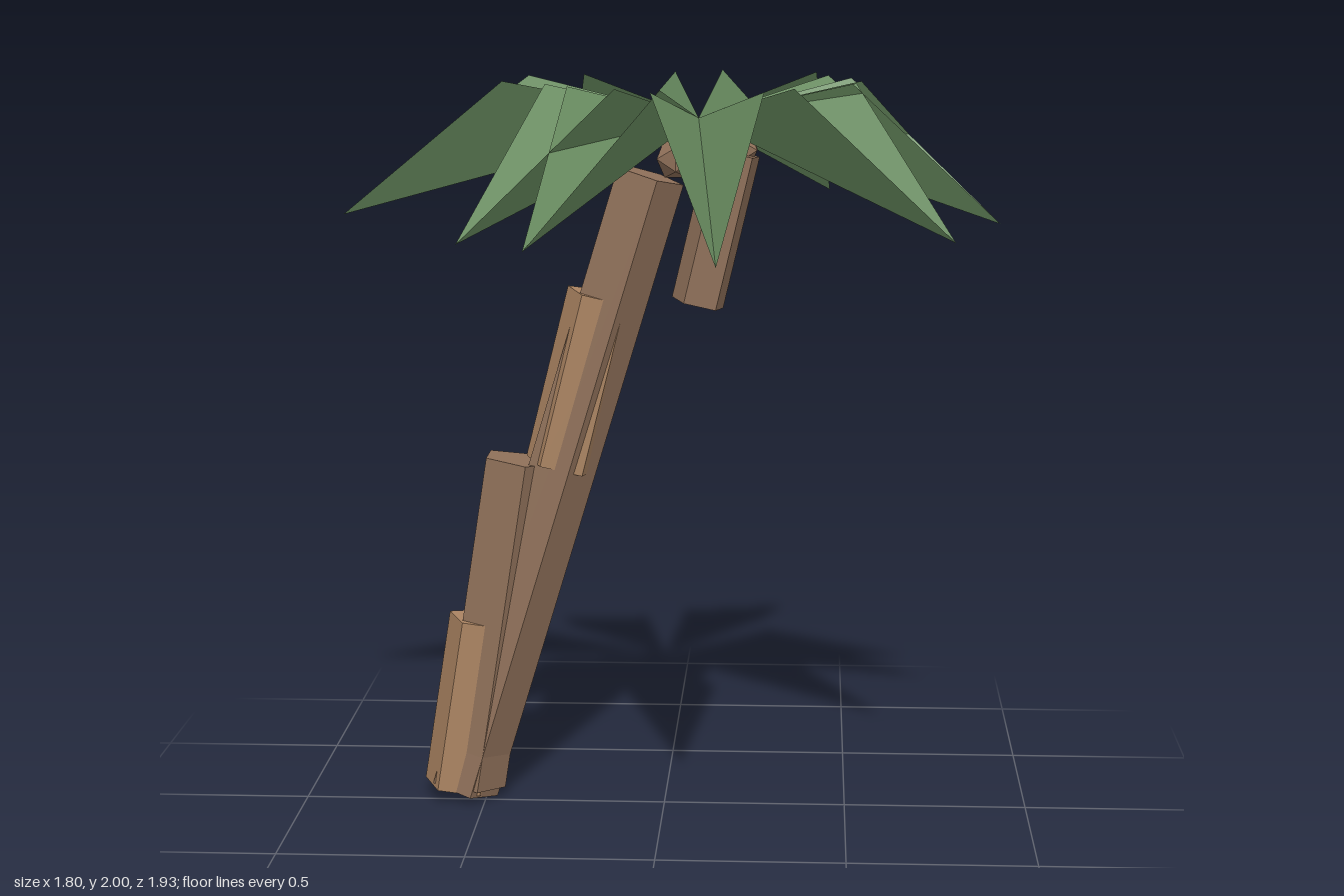
import * as THREE from 'three';

const mat = (name, color, side = THREE.FrontSide) => {
  const m = new THREE.MeshStandardMaterial({ color, side, flatShading: true });
  m.name = name;
  return m;
};

export function createModel() {
  const bark = mat('bark brown', 0x8f7059);
  const lightBark = mat('light bark brown', 0xab8462);
  const green = mat('leaf green', 0x6b8f62, THREE.DoubleSide);
  const group = new THREE.Group();
  group.name = 'palmTree';

  const add = (name, geometry, material) => {
    const mesh = new THREE.Mesh(geometry, material);
    mesh.name = name;
    group.add(mesh);
    return mesh;
  };

  // Five-sided log between two points; turn is the angle of one corner from +x towards +z
  const up = new THREE.Vector3(0, 1, 0);
  const log = (name, material, from, to, radius, turn) => {
    const a = new THREE.Vector3(...from), b = new THREE.Vector3(...to);
    const start = THREE.MathUtils.degToRad(90 - turn);
    const geo = new THREE.CylinderGeometry(radius, radius, a.distanceTo(b), 5, 1, false, start);
    const mesh = add(name, geo, material);
    mesh.position.copy(a).add(b).multiplyScalar(0.5);
    mesh.quaternion.setFromUnitVectors(up, b.sub(a).normalize());
  };

  // Leaning trunk, overlapping bark sections and the short hanging stem
  const z = -0.035;
  log('trunk', bark, [-0.566, 0.033, z], [-0.046, 1.749, z], 0.1, 0);
  log('middleTrunkSection', bark, [-0.547, 0.045, z], [-0.405, 0.967, z], 0.1, 0);
  log('trunkFoot', lightBark, [-0.578, 0.035, z], [-0.503, 0.515, z], 0.1, 48);
  log('upperTrunkSection', lightBark, [-0.287, 0.95, z], [-0.17, 1.42, z], 0.1, 48);
  log('shortStem', bark, [0.09, 1.4, -0.03], [0.187, 1.81, -0.03], 0.075, 48);

  // Nuts below the crown
  const nuts = [[0.035, 1.8, 0.055, 0.06], [0.05, 1.8, -0.1, 0.06], [0.205, 1.815, -0.05, 0.05]];
  for (const [x, y, nz, r] of nuts) {
    add('nut', new THREE.IcosahedronGeometry(r, 0), bark).position.set(x, y, nz);
  }

  // Folded leaf along +x: the crease drops to the tip, both side corners rise
  const leafGeometry = (length) => {
    const geo = new THREE.BufferGeometry();
    const mid = length * 0.505, w = 0.143, rise = 0.1, drop = -0.28;
    geo.setAttribute('position', new THREE.Float32BufferAttribute([
      0, 0, 0, length, drop, 0, mid, rise, -w,
      0, 0, 0, mid, rise, w, length, drop, 0,
    ], 3));
    geo.computeVertexNormals();
    return geo;
  };
  const longLeaf = leafGeometry(1), shortLeaf = leafGeometry(0.81);

  // Crown: directions in degrees from +x towards +z
  const crown = (geo, angles) => {
    for (const angle of angles) {
      const leaf = add('leaf', geo, green);
      leaf.position.set(0.09, 1.9, z);
      leaf.rotation.y = -THREE.MathUtils.degToRad(angle);
    }
  };
  crown(longLeaf, [189, -69, 85.4]);
  crown(shortLeaf, [0, -17.6, 34.2, 120.2, 136.8, 239.8]);

  return group;
}
